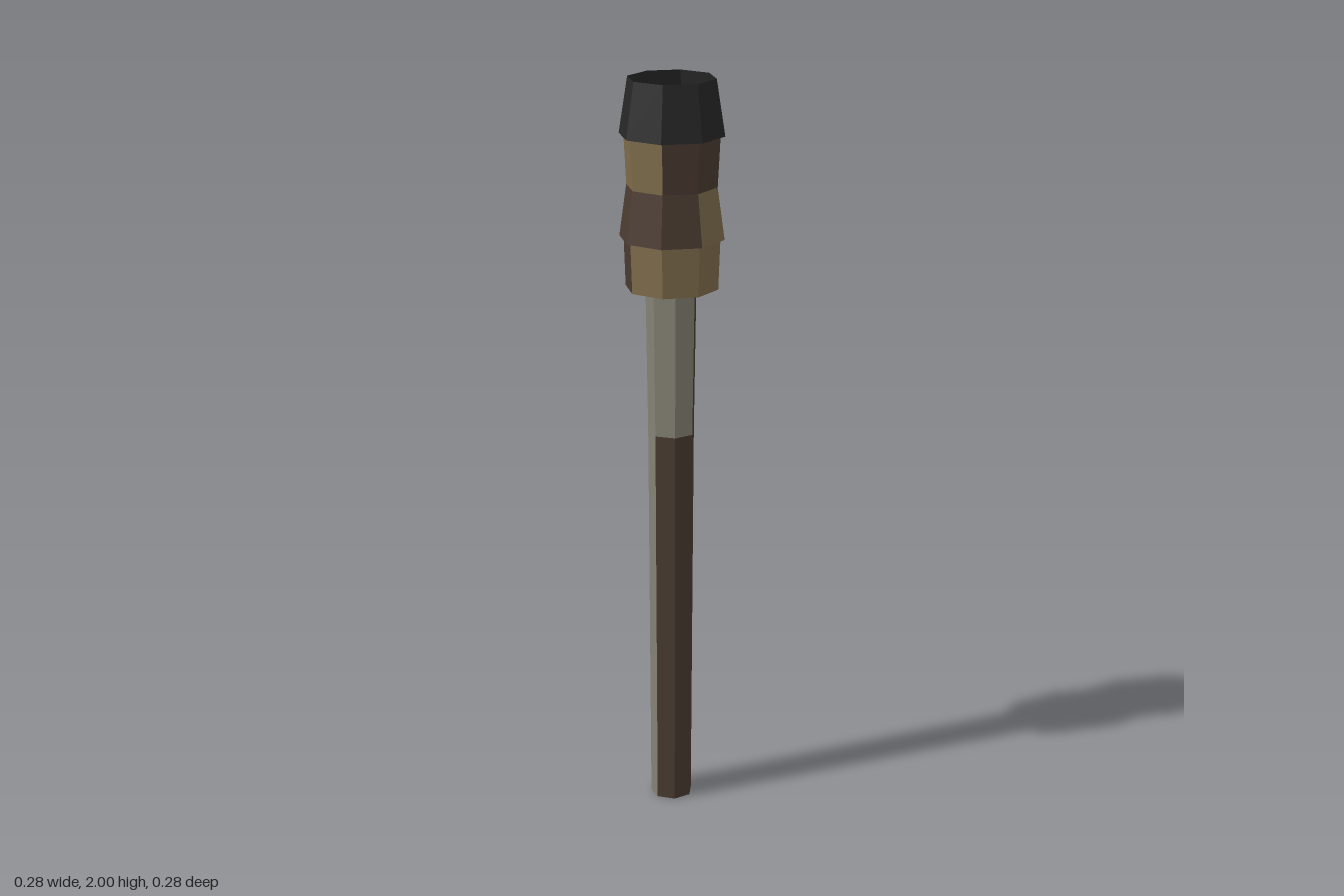
import * as THREE from 'three';

const flat = (name, color) => {
  const m = new THREE.MeshStandardMaterial({ color, flatShading: true, side: THREE.DoubleSide });
  m.name = name;
  return m;
};

// Open faceted band between two rings; pattern holds one material letter per side.
// Angles run from +z towards +x.
function band(name, pattern, start, [y0, r0], [y1, r1], materials) {
  const keys = Object.keys(materials);
  const n = pattern.length;
  const pos = [];
  const geo = new THREE.BufferGeometry();
  const point = (i, r, y) => {
    const a = start + (i / n) * Math.PI * 2;
    return [Math.sin(a) * r, y, Math.cos(a) * r];
  };
  for (let i = 0; i < n; i++) {
    const a = point(i, r0, y0), b = point(i + 1, r0, y0);
    const c = point(i + 1, r1, y1), d = point(i, r1, y1);
    pos.push(...a, ...b, ...c, ...a, ...c, ...d);
    geo.addGroup(i * 6, 6, keys.indexOf(pattern[i]));
  }
  geo.setAttribute('position', new THREE.Float32BufferAttribute(pos, 3));
  geo.computeVertexNormals();
  const mesh = new THREE.Mesh(geo, Object.values(materials));
  mesh.name = name;
  return mesh;
}

export function createModel() {
  const materials = {
    b: flat('darkWood', 0x4a3b31),
    t: flat('tanWrap', 0x7f6d4c),
    g: flat('greyWood', 0x858174),
    k: flat('charred', 0x272727),
  };
  const model = new THREE.Group();
  model.name = 'torch';

  // Seven-sided tapering handle, open at both ends
  const handle = new THREE.Group();
  handle.name = 'handle';
  handle.add(
    band('handleLower', 'bgbbbgb', Math.PI, [0, 0.057], [1.055, 0.063], materials),
    band('handleUpper', 'ggggbgb', Math.PI, [1.055, 0.063], [1.58, 0.071], materials),
  );

  // Eight-sided head: patchwork wrapping below a charred collar
  const head = new THREE.Group();
  head.name = 'head';
  head.add(
    band('wrapLower', 'tbtttbtt', 0, [1.45, 0.123], [1.585, 0.128], materials),
    band('wrapMiddleLedge', 'ttbtbbbb', 0, [1.585, 0.128], [1.583, 0.139], materials),
    band('wrapMiddle', 'ttbtbbbb', 0, [1.583, 0.139], [1.72, 0.12], materials),
    band('wrapUpper', 'bbbtbttb', 0, [1.72, 0.12], [1.855, 0.127], materials),
    band('collarLedge', 'kkkkkkkk', 0, [1.855, 0.127], [1.853, 0.139], materials),
    band('collar', 'kkkkkkkk', 0, [1.853, 0.139], [2, 0.116], materials),
  );

  model.add(handle, head);
  return model;
}
